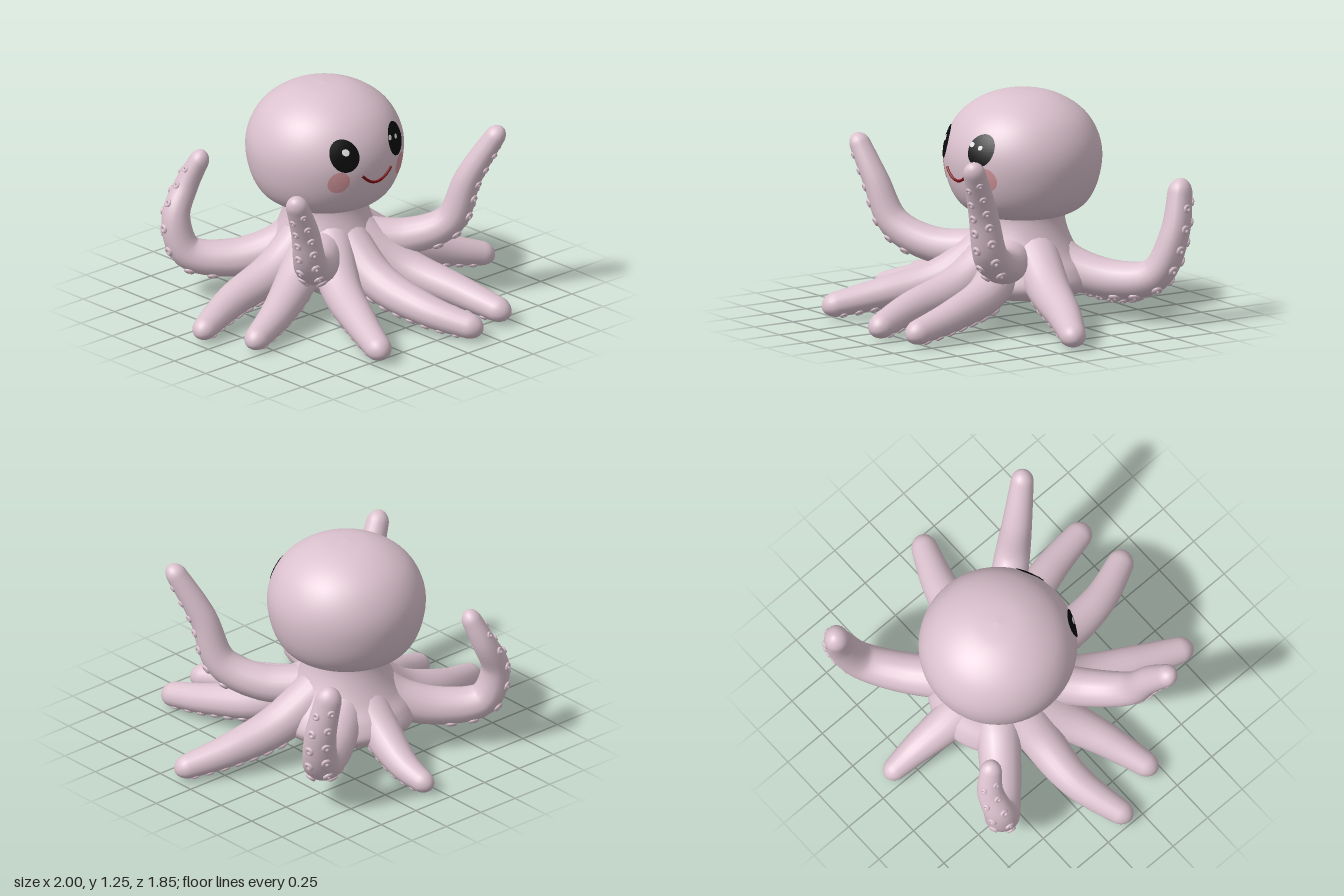
import * as THREE from 'three';

const mat = (name, color, side = THREE.FrontSide) => {
  const m = new THREE.MeshStandardMaterial({ color, side });
  m.name = name;
  return m;
};
const V = (a) => new THREE.Vector3(...a);
const HEAD = { x: 0.01, z: -0.16 };

// Smooth lathe profile from a few [radius, height] points, bottom to top
const profile = (pts) =>
  new THREE.SplineCurve(pts.map((p) => new THREE.Vector2(...p))).getPoints(60)
    .map((p) => p.set(Math.max(p.x, 0), p.y));

const headProfile = profile([[0, 0.56], [0.14, 0.56], [0.25, 0.578], [0.345, 0.635], [0.405, 0.74],
  [0.432, 0.88], [0.415, 1.0], [0.355, 1.11], [0.26, 1.19], [0.14, 1.24], [0, 1.255]]);

// Depth of the face at (x, y), lifted slightly off the skin
function faceZ(x, y, lift) {
  const i = headProfile.findIndex((p) => p.y > y && p.x > 0.2);
  const a = headProfile[i - 1], b = headProfile[i];
  const r = THREE.MathUtils.mapLinear(y, a.y, b.y, a.x, b.x);
  return HEAD.z + Math.sqrt(Math.max(r * r - (x - HEAD.x) ** 2, 0)) + lift;
}

// Thin oval that hugs the head
function facePatch(x, y, rx, ry, lift) {
  const g = new THREE.RingGeometry(0.001, 1, 36, 6);
  const p = g.attributes.position;
  for (let i = 0; i < p.count; i++) {
    const px = x + p.getX(i) * rx, py = y + p.getY(i) * ry;
    p.setXYZ(i, px, py, faceZ(px, py, lift));
  }
  g.computeVertexNormals();
  return g;
}

// Tapered arm along a curve; returns skin geometry and a frame sampler
function armGeometry(points, base, tip) {
  const curve = new THREE.CatmullRomCurve3(points.map(V));
  const out = V(points[2]).sub(V(points[0])).setY(0).normalize();
  const across = new THREE.Vector3(0, 1, 0).cross(out);
  const len = curve.getLength();
  const frame = (t) => {
    const dir = curve.getTangentAt(t);
    const side = across.clone().addScaledVector(dir, -across.dot(dir)).normalize();
    const up = dir.clone().cross(side);
    const cap = Math.max(0, 1 - ((1 - t) * len) / (tip * 1.15));
    const r = THREE.MathUtils.lerp(base, tip, t ** 1.5) * Math.sqrt(Math.max(0, 1 - cap * cap));
    return { p: curve.getPointAt(t), side, up, r };
  };
  const rings = 48, sides = 20, pos = [], idx = [];
  for (let i = 0; i <= rings; i++) {
    const f = frame(Math.sin((i / rings) * Math.PI / 2)); // finer towards the tip
    for (let j = 0; j < sides; j++) {
      const a = (j / sides) * Math.PI * 2, s = Math.sin(a);
      const v = f.p.clone().addScaledVector(f.side, Math.cos(a) * f.r)
        .addScaledVector(f.up, s * f.r * (s < 0 ? 0.85 : 1)); // flatter sucker side
      pos.push(v.x, Math.max(v.y, 0.004), v.z);
      if (i < rings) {
        const k = i * sides + j, n = i * sides + (j + 1) % sides;
        idx.push(k, n, k + sides, n, n + sides, k + sides);
      }
    }
  }
  const g = new THREE.BufferGeometry();
  g.setAttribute('position', new THREE.Float32BufferAttribute(pos, 3));
  g.setIndex(idx);
  g.computeVertexNormals();
  return { g, frame };
}

export function createModel() {
  const model = new THREE.Group();
  const skin = mat('skin', 0xdbc2ce);
  const black = mat('eye black', 0x0b0b0c, THREE.DoubleSide);
  const white = mat('eye white', 0xf4f2f3, THREE.DoubleSide);
  const blush = mat('blush', 0xd2959a, THREE.DoubleSide);
  const red = mat('mouth red', 0x7d1216);

  const add = (name, geo, m, parent = model) => {
    const mesh = new THREE.Mesh(geo, m);
    mesh.name = name;
    parent.add(mesh);
    return mesh;
  };

  // Head and flared body
  add('head', new THREE.LatheGeometry(headProfile, 64), skin).position.set(HEAD.x, 0, HEAD.z);
  add('body', new THREE.LatheGeometry(profile([[0, 0.14], [0.2, 0.135], [0.33, 0.15], [0.385, 0.21],
    [0.36, 0.29], [0.3, 0.37], [0.255, 0.46], [0.23, 0.55], [0.23, 0.63]]), 48), skin).position.set(0.015, 0, -0.155);

  // Face
  add('rightEye', facePatch(-0.185, 0.975, 0.073, 0.09, 0.005), black);
  add('leftEye', facePatch(0.178, 0.985, 0.075, 0.088, 0.005), black);
  add('rightEyeGlint', facePatch(-0.182, 0.997, 0.019, 0.019, 0.008), white);
  add('leftEyeGlint', facePatch(0.178, 1.0, 0.013, 0.013, 0.008), white);
  add('leftEyeSideGlint', facePatch(0.122, 1.012, 0.015, 0.014, 0.008), white);
  add('rightCheek', facePatch(-0.217, 0.825, 0.052, 0.063, 0.004), blush);
  add('leftCheek', facePatch(0.22, 0.828, 0.052, 0.063, 0.004), blush);
  const smile = [];
  for (let i = -5; i <= 5; i++) {
    const x = 0.005 + i * 0.021, y = 0.793 + 0.06 * (i / 5) ** 2;
    smile.push(new THREE.Vector3(x, y, faceZ(x, y, 0.004)));
  }
  add('mouth', new THREE.TubeGeometry(new THREE.CatmullRomCurve3(smile), 40, 0.008, 8), red);

  // Arms: centre line from the neck to the tip, base radius, tip radius
  const arms = {
    backArm: [[[0.02, 0.42, -0.24], [0.04, 0.23, -0.46], [0.07, 0.1, -0.7], [0.07, 0.048, -0.92]], 0.13, 0.055],
    backLeftRaisedArm: [[[0.08, 0.4, -0.23], [0.22, 0.28, -0.34], [0.43, 0.225, -0.5], [0.61, 0.27, -0.63],
      [0.685, 0.5, -0.71], [0.66, 0.805, -0.77]], 0.125, 0.068],
    backRightRaisedArm: [[[-0.07, 0.4, -0.23], [-0.2, 0.28, -0.34], [-0.39, 0.225, -0.49], [-0.57, 0.27, -0.64],
      [-0.61, 0.47, -0.69], [-0.53, 0.64, -0.69], [-0.46, 0.84, -0.62]], 0.125, 0.055],
    rightArm: [[[-0.09, 0.42, -0.16], [-0.35, 0.23, -0.18], [-0.65, 0.14, -0.18], [-1.0, 0.062, -0.08]], 0.13, 0.062],
    rightFrontArm: [[[-0.08, 0.42, -0.12], [-0.36, 0.21, 0.0], [-0.6, 0.125, 0.11], [-0.88, 0.054, 0.21]], 0.13, 0.062],
    frontRightRaisedArm: [[[-0.1, 0.36, -0.04], [-0.36, 0.36, 0.18], [-0.54, 0.47, 0.32],
      [-0.635, 0.7, 0.38], [-0.76, 0.945, 0.43]], 0.115, 0.057],
    frontRightArm: [[[-0.06, 0.42, -0.05], [-0.22, 0.21, 0.22], [-0.35, 0.13, 0.52], [-0.47, 0.065, 0.83]], 0.125, 0.068],
    frontArm: [[[0.01, 0.42, -0.04], [0.01, 0.21, 0.26], [0.05, 0.125, 0.6], [0.18, 0.06, 0.92]], 0.125, 0.068],
    frontLeftArm: [[[0.07, 0.42, -0.05], [0.25, 0.21, 0.22], [0.36, 0.13, 0.52], [0.435, 0.065, 0.86]], 0.125, 0.068],
    frontLeftRaisedArm: [[[0.1, 0.36, -0.05], [0.32, 0.355, 0.17], [0.47, 0.46, 0.35],
      [0.53, 0.73, 0.44], [0.64, 1.03, 0.58]], 0.115, 0.057],
    leftArm: [[[0.11, 0.42, -0.14], [0.42, 0.22, -0.06], [0.7, 0.13, 0.02], [0.99, 0.056, 0.14]], 0.135, 0.064],
  };
  const suckerGeo = new THREE.TorusGeometry(0.6, 0.42, 8, 14);
  for (const [name, [points, base, tip]] of Object.entries(arms)) {
    const arm = new THREE.Group();
    arm.name = name;
    model.add(arm);
    const { g, frame } = armGeometry(points, base, tip);
    add(name + 'Skin', g, skin, arm);
    // Two rows of suckers on the underside
    for (let i = 0; i < 7; i++) {
      for (const s of [-1, 1]) {
        const f = frame(0.38 + i * 0.082 + (s > 0 ? 0.03 : 0));
        const n = f.up.clone().multiplyScalar(-0.85).addScaledVector(f.side, s * 0.5).normalize();
        const cup = add('sucker', suckerGeo, skin, arm);
        cup.position.copy(f.p).addScaledVector(f.up, -0.72 * f.r).addScaledVector(f.side, s * 0.5 * f.r);
        cup.position.y = Math.max(cup.position.y, 0.02);
        cup.quaternion.setFromUnitVectors(new THREE.Vector3(0, 0, 1), n);
        cup.scale.setScalar(f.r * 0.3);
      }
    }
  }
  return model;
}
